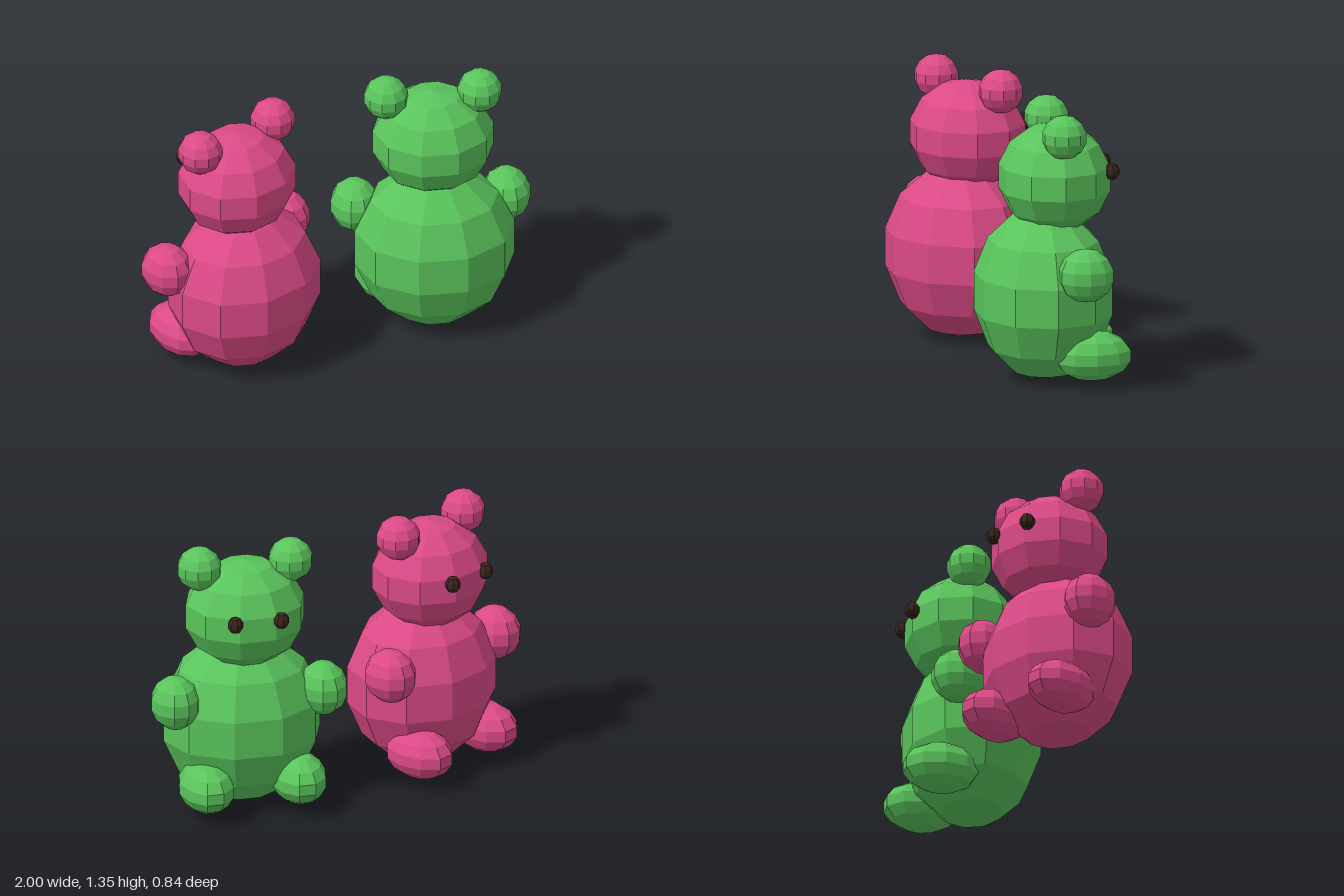
import * as THREE from 'three';

const flat = (name, color) => {
  const m = new THREE.MeshStandardMaterial({ color, flatShading: true });
  m.name = name;
  return m;
};

// Faceted ball shared by every body part, and a coarser one for the eyes
const ball = new THREE.SphereGeometry(1, 10, 7);
const bead = new THREE.SphereGeometry(1, 8, 5);

function part(parent, name, geometry, material, position, radii) {
  const mesh = new THREE.Mesh(geometry, material);
  mesh.name = name;
  mesh.position.set(...position);
  mesh.scale.set(...radii);
  parent.add(mesh);
}

// Bear looking along its own -z
function makeBear(name, fur, eyeMaterial) {
  const bear = new THREE.Group();
  bear.name = name;
  part(bear, 'body', ball, fur, [0, 0.425, 0], [0.4, 0.425, 0.343]);
  part(bear, 'head', ball, fur, [0, 0.995, -0.055], [0.303, 0.27, 0.277]);
  for (const s of [-1, 1]) {
    const side = s < 0 ? 'left' : 'right';
    part(bear, side + 'Ear', ball, fur, [s * 0.228, 1.243, -0.06], [0.11, 0.108, 0.11]);
    part(bear, side + 'Arm', ball, fur, [s * 0.37, 0.587, -0.14], [0.12, 0.133, 0.137]);
    part(bear, side + 'Leg', ball, fur, [s * 0.23, 0.157, -0.2], [0.136, 0.123, 0.192]);
    part(bear, side + 'Eye', bead, eyeMaterial, [s * 0.115, 1.037, -0.315], [0.039, 0.042, 0.039]);
  }
  return bear;
}

export function createModel() {
  const pink = flat('pink fur', 0xdb4a87);
  const green = flat('green fur', 0x5ac45c);
  const brown = flat('dark brown eyes', 0x3a251b);

  // Two bears side by side, turned slightly away from each other's front
  const pinkBear = makeBear('pinkBear', pink, brown);
  pinkBear.position.set(-0.495, 0, 0.018);
  pinkBear.rotation.y = 0.265;

  const greenBear = makeBear('greenBear', green, brown);
  greenBear.position.set(0.487, 0, 0.08);
  greenBear.rotation.y = -0.295;

  const model = new THREE.Group();
  model.name = 'bearPair';
  model.add(pinkBear, greenBear);
  return model;
}
